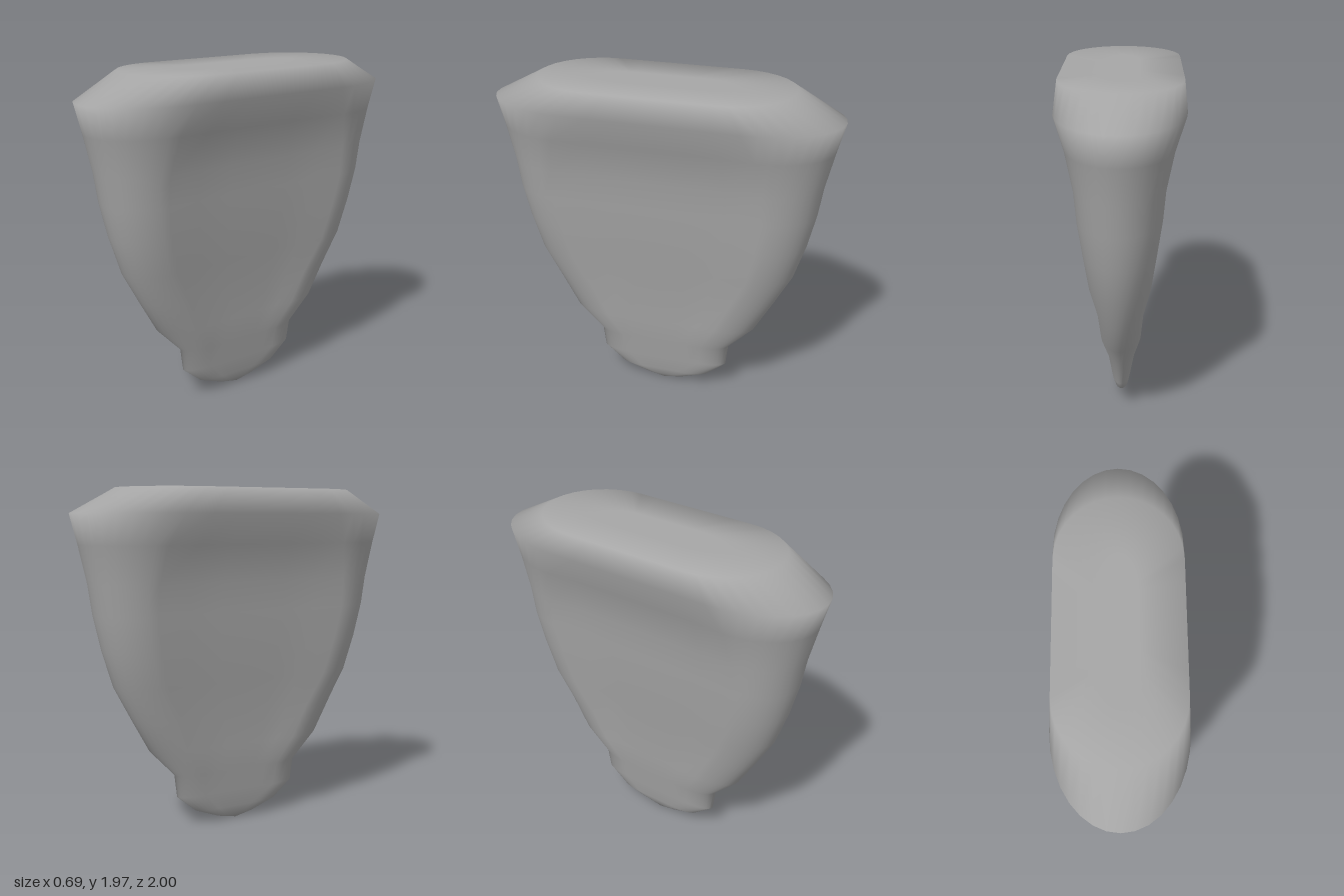
import * as THREE from 'three';

// Cross-sections from bottom to top:
// [height, half width, half length, straight part of side (fraction), inset of the side panel]
const SECTIONS = [
  [0.025, 0.008, 0.12, 0.5, 0],
  [0.085, 0.042, 0.275, 0.5, 0],
  [0.185, 0.053, 0.395, 0.6, 0],
  [0.32, 0.078, 0.41, 0.6, 0],
  [0.48, 0.115, 0.565, 0.6, 0.015],
  [0.67, 0.13, 0.67, 0.64, 0.015],
  [0.87, 0.17, 0.775, 0.68, 0.02],
  [1.08, 0.198, 0.84, 0.69, 0.02],
  [1.28, 0.225, 0.885, 0.69, 0.02],
  [1.45, 0.24, 0.91, 0.67, 0.02],
  [1.66, 0.285, 0.957, 0.6, 0.015],
  [1.83, 0.345, 1.0, 0.5, 0],
  [1.97, 0.335, 0.73, 0.5, 0],
  [1.97, 0.1, 0.4, 0.5, 0],
];
const ARC = 8; // steps in each quarter of a rounded end
const SIDE = 6; // steps along each straight side

// Outline of one section: straight sides, slightly hollow, with elliptical ends
function outline([y, w, l, straight, inset]) {
  const s = l * straight;
  const half = [];
  for (let i = 0; i < SIDE; i++) {
    const u = -1 + (2 * i) / SIDE;
    const hollow = inset * Math.min(1, 2.5 * (1 - Math.abs(u)));
    half.push([w - hollow, u * s]);
  }
  for (let i = 0; i < ARC * 2; i++) {
    const a = (i / (ARC * 2)) * Math.PI;
    half.push([w * Math.cos(a), s + (l - s) * Math.sin(a)]);
  }
  const full = [...half, ...half.map(([x, z]) => [-x, -z])];
  return full.map(([x, z]) => [x, y, z]);
}

// Skin the sections and close both ends to a centre point
function loft(sections) {
  const rings = sections.map(outline);
  const n = rings[0].length;
  const positions = rings.flat(2);
  const index = [];
  for (let r = 0; r < rings.length - 1; r++) {
    for (let i = 0; i < n; i++) {
      const j = (i + 1) % n;
      const a = r * n + i, b = r * n + j, c = a + n, d = b + n;
      index.push(a, c, b, b, c, d);
    }
  }
  const bottom = positions.length / 3;
  positions.push(0, 0, 0, 0, sections[sections.length - 1][0], 0);
  const last = (rings.length - 1) * n;
  for (let i = 0; i < n; i++) {
    const j = (i + 1) % n;
    index.push(bottom, i, j, bottom + 1, last + j, last + i);
  }
  const geometry = new THREE.BufferGeometry();
  geometry.setAttribute('position', new THREE.Float32BufferAttribute(positions, 3));
  geometry.setIndex(index);
  geometry.computeVertexNormals();
  return geometry;
}

export function createModel() {
  const group = new THREE.Group();
  group.name = 'taperedWedge';
  const grey = new THREE.MeshStandardMaterial({ color: 0xa6a6a6 });
  grey.name = 'plain grey';

  // One smooth body, from the narrow foot to the broad bevelled top
  const body = new THREE.Mesh(loft(SECTIONS), grey);
  body.name = 'body';
  group.add(body);
  return group;
}
